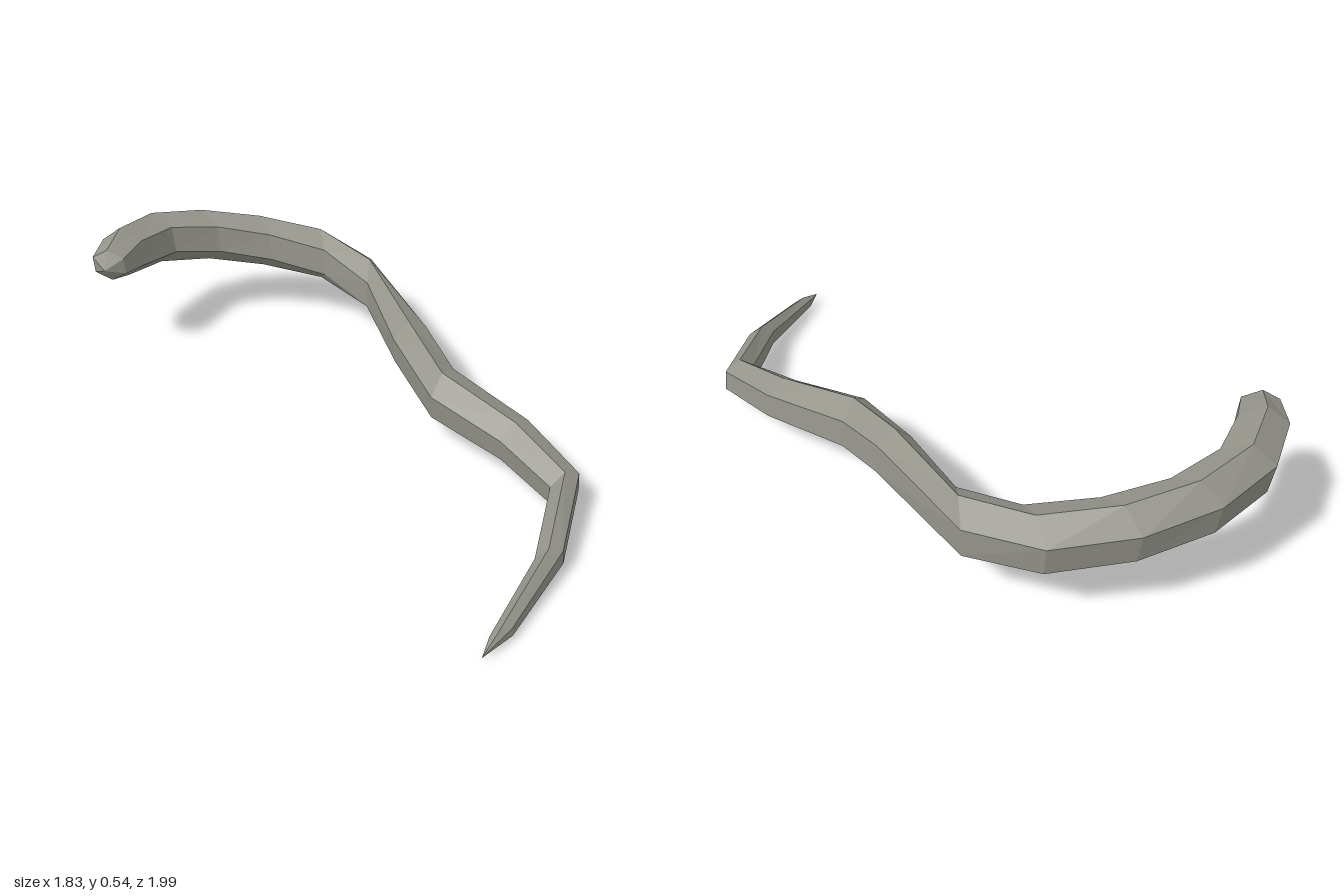
import * as THREE from 'three';

const SIDES = 6;

// Each ring in plan: outer x, outer z, inner x, inner z, centre height, half height, twist in degrees
const RINGS = [
  [-0.915, -0.53, -0.785, -0.51, 0.45, 0.065, -4],
  [-0.90, -0.66, -0.73, -0.62, 0.443, 0.104, -6],
  [-0.80, -0.83, -0.63, -0.75, 0.427, 0.108, -8],
  [-0.60, -0.95, -0.46, -0.82, 0.395, 0.108, -8],
  [-0.35, -1.00, -0.25, -0.83, 0.358, 0.108, -8],
  [-0.07, -0.98, -0.03, -0.79, 0.322, 0.108, -6],
  [0.16, -0.83, 0.15, -0.64, 0.28, 0.108, 0],
  [0.39, -0.385, 0.26, -0.32, 0.245, 0.105, 8],
  [0.49, -0.19, 0.40, -0.03, 0.198, 0.099, 8],
  [0.75, 0.05, 0.64, 0.16, 0.165, 0.086, 8],
  [0.91, 0.28, 0.80, 0.34, 0.125, 0.076, 8],
  [0.83, 0.60, 0.73, 0.63, 0.078, 0.058, 8],
  [0.65, 0.89, 0.575, 0.92, 0.037, 0.033, 8],
];
const BLUNT_END = [-0.86, 0.45, -0.475];
const POINTED_END = [0.55, 0.03, 0.99];

// Six-sided tapering body lofted through the rings, closed by a point at each end
function bodyGeometry() {
  const points = [];
  for (const [ox, oz, ix, iz, y, h, twist] of RINGS) {
    const angles = Array.from({ length: SIDES }, (_, j) =>
      THREE.MathUtils.degToRad(30 + twist + (j * 360) / SIDES));
    const widest = Math.max(...angles.map(Math.cos));
    const tallest = Math.max(...angles.map(Math.sin));
    for (const a of angles) {
      const u = Math.cos(a) / widest / 2;
      points.push(
        (ox + ix) / 2 + (ox - ix) * u,
        y + (h * Math.sin(a)) / tallest,
        (oz + iz) / 2 + (oz - iz) * u);
    }
  }
  const start = RINGS.length * SIDES;
  points.push(...BLUNT_END, ...POINTED_END);

  const index = [];
  const last = (RINGS.length - 1) * SIDES;
  for (let j = 0; j < SIDES; j++) {
    const k = (j + 1) % SIDES;
    for (let r = 0; r < last; r += SIDES) {
      index.push(r + j, r + k, r + SIDES + j, r + k, r + SIDES + k, r + SIDES + j);
    }
    index.push(start, k, j);
    index.push(start + 1, last + j, last + k);
  }
  const geometry = new THREE.BufferGeometry();
  geometry.setAttribute('position', new THREE.Float32BufferAttribute(points, 3));
  geometry.setIndex(index);
  const faceted = geometry.toNonIndexed();
  faceted.computeVertexNormals();
  return faceted;
}

export function createModel() {
  const group = new THREE.Group();
  group.name = 'curvedTaperedBody';
  const grey = new THREE.MeshStandardMaterial({ color: 0x94948b, flatShading: true });
  grey.name = 'warmGrey';
  const body = new THREE.Mesh(bodyGeometry(), grey);
  body.name = 'body';
  group.add(body);
  return group;
}
